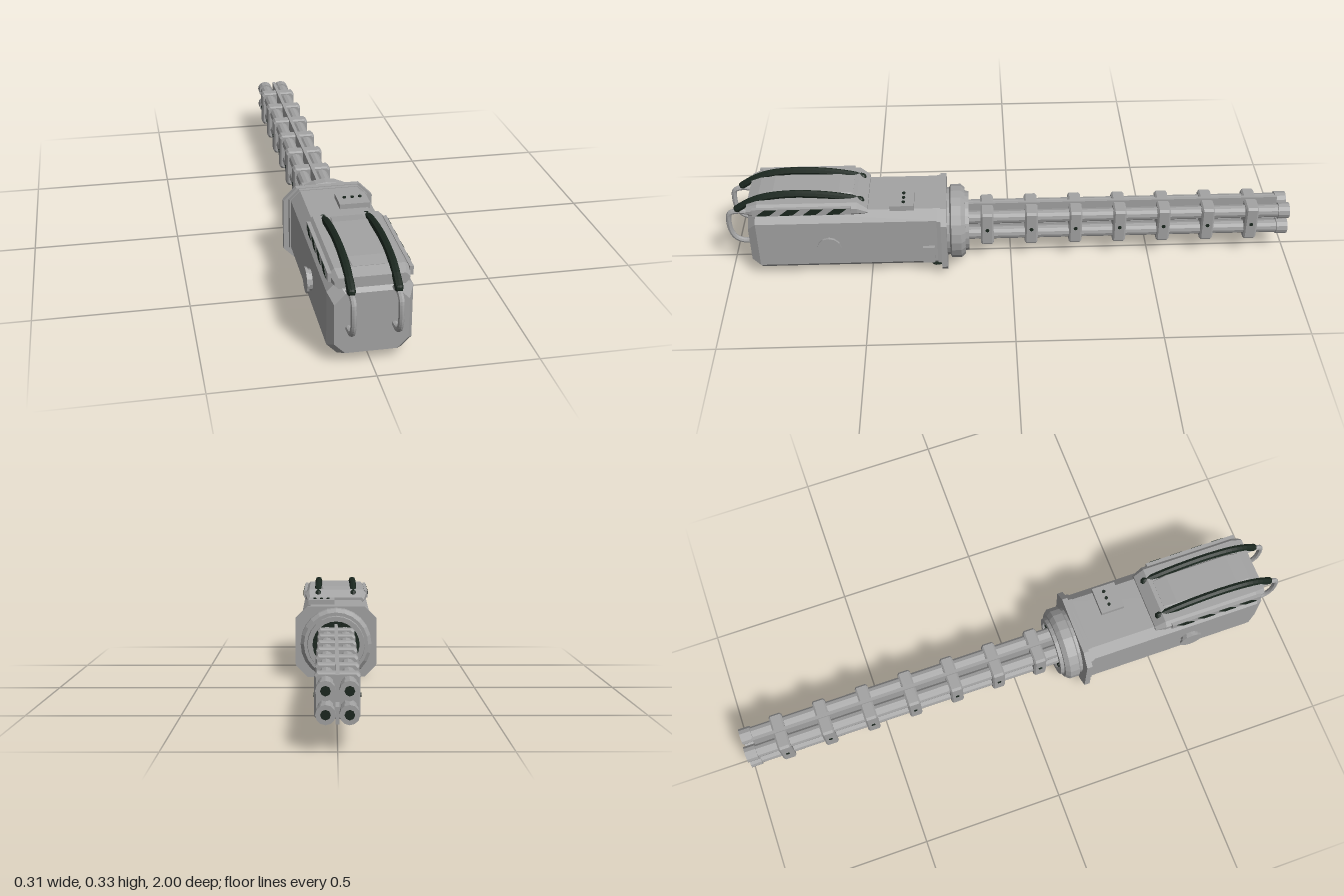
import * as THREE from 'three';

const grey = new THREE.MeshStandardMaterial({ color: 0xa3a3a3, flatShading: true });
grey.name = 'metalGrey';
const dark = new THREE.MeshStandardMaterial({ color: 0x1a261e, flatShading: true });
dark.name = 'darkGreen';

// Octagonal cross-sections joined along z; each section is [z, halfWidth, yBottom, yTop, chamfer]
function octagonLoft(sections) {
  const rings = sections.map(([z, w, b, t, c]) => [
    [w, b + c, z], [w, t - c, z], [w - c, t, z], [-w + c, t, z],
    [-w, t - c, z], [-w, b + c, z], [-w + c, b, z], [w - c, b, z],
  ]);
  const out = [];
  const tri = (a, b, c) => out.push(...a, ...b, ...c);
  for (let s = 0; s + 1 < rings.length; s++) {
    for (let i = 0; i < 8; i++) {
      const j = (i + 1) % 8, a = rings[s], b = rings[s + 1];
      tri(a[i], a[j], b[j]);
      tri(a[i], b[j], b[i]);
    }
  }
  const first = rings[0], last = rings[rings.length - 1];
  for (let i = 1; i < 7; i++) {
    tri(last[0], last[i], last[i + 1]);
    tri(first[0], first[i + 1], first[i]);
  }
  const geo = new THREE.BufferGeometry();
  geo.setAttribute('position', new THREE.Float32BufferAttribute(out, 3));
  geo.computeVertexNormals();
  return geo;
}

export function createModel() {
  const model = new THREE.Group();
  const add = (name, geo, mat, x = 0, y = 0, z = 0) => {
    const mesh = new THREE.Mesh(geo, mat);
    mesh.name = name;
    mesh.position.set(x, y, z);
    model.add(mesh);
    return mesh;
  };
  const box = (name, mat, w, h, d, x, y, z) => add(name, new THREE.BoxGeometry(w, h, d), mat, x, y, z);
  const rodZ = (r, len, sides) => new THREE.CylinderGeometry(r, r, len, sides).rotateX(Math.PI / 2);
  const rodX = (r, len, sides) => new THREE.CylinderGeometry(r, r, len, sides).rotateZ(Math.PI / 2);

  // Housing with bevelled end, and the collar plate behind it
  add('housing', octagonLoft([
    [0.235, 0.13, 0.024, 0.266, 0.032],
    [0.89, 0.13, 0.024, 0.266, 0.032],
    [0.92, 0.113, 0.038, 0.238, 0.034],
  ]), grey);
  add('collarPlate', octagonLoft([
    [0.228, 0.153, 0.001, 0.27, 0.045],
    [0.248, 0.153, 0.001, 0.27, 0.045],
  ]), grey);
  add('collarStep', octagonLoft([
    [0.245, 0.136, 0.016, 0.268, 0.036],
    [0.262, 0.134, 0.02, 0.268, 0.034],
  ]), grey);

  // Hollow ring, turned around z, open towards the barrels
  const ringProfile = [
    [0.088, -0.215], [0.088, -0.15], [0.106, -0.15], [0.108, -0.163],
    [0.12, -0.163], [0.133, -0.178], [0.133, -0.212], [0.122, -0.218], [0.122, -0.23],
  ].map(([r, z]) => new THREE.Vector2(r, -z)).reverse();
  add('mountRing', new THREE.LatheGeometry(ringProfile, 24).rotateX(-Math.PI / 2), grey, 0, 0.135, 0)
    .material.side = THREE.DoubleSide;
  const ring = model.getObjectByName('mountRing');
  ring.scale.z = Math.sign(new THREE.Vector3(0, 1, 0).applyAxisAngle(new THREE.Vector3(1, 0, 0), -Math.PI / 2).z) || 1;
  ring.geometry.scale(1, 1, ring.scale.z);
  ring.scale.z = 1;

  // Dark socket with teeth inside the ring
  add('socket', rodZ(0.088, 0.02, 24), dark, 0, 0.135, 0.2);
  for (let i = 0; i < 16; i++) {
    const a = (i / 16) * Math.PI * 2;
    const tooth = box('socketTooth', dark, 0.014, 0.017, 0.034,
      Math.cos(a) * 0.081, 0.135 + Math.sin(a) * 0.081, 0.174);
    tooth.rotation.z = a;
  }
  add('spindle', rodZ(0.055, 0.03, 12), grey, 0, 0.14, 0.185);

  // Four barrels with muzzles and dark bores
  for (const x of [-0.034, 0.034]) {
    for (const y of [0.106, 0.174]) {
      add('barrel', rodZ(0.024, 1.15, 12), grey, x, y, -0.385);
      add('muzzle', rodZ(0.029, 0.04, 12), grey, x, y, -0.979);
      add('bore', rodZ(0.015, 0.004, 8), dark, x, y, -0.9985);
    }
  }

  // Thin rails between the barrels
  box('topRail', grey, 0.012, 0.056, 1.12, 0, 0.185, -0.4);
  box('bottomRail', grey, 0.012, 0.05, 1.12, 0, 0.096, -0.4);

  // Barrel clamps with side screws
  for (let i = 0; i < 7; i++) {
    const z = 0.085 - i * 0.158;
    add('clamp', octagonLoft([
      [z - 0.023, 0.062, 0.075, 0.201, 0.008],
      [z - 0.017, 0.067, 0.07, 0.206, 0.008],
      [z + 0.017, 0.067, 0.07, 0.206, 0.008],
      [z + 0.023, 0.062, 0.075, 0.201, 0.008],
    ]), grey);
    for (const s of [-1, 1]) add('clampScrew', rodX(0.007, 0.004, 8), dark, s * 0.067, 0.138, z);
  }

  // Raised lid
  add('lid', octagonLoft([
    [0.5, 0.112, 0.255, 0.275, 0.009],
    [0.535, 0.122, 0.253, 0.304, 0.016],
    [0.88, 0.122, 0.253, 0.304, 0.016],
    [0.918, 0.112, 0.256, 0.29, 0.012],
  ]), grey);
  add('lidRidge', octagonLoft([
    [0.55, 0.055, 0.29, 0.305, 0.005],
    [0.6, 0.06, 0.29, 0.312, 0.005],
    [0.83, 0.06, 0.29, 0.312, 0.005],
    [0.88, 0.055, 0.29, 0.305, 0.005],
  ]), grey);

  // Slanted vents on both sides of the lid
  const slant = new THREE.Shape([
    [-0.035, -0.011], [0.008, -0.011], [0.035, 0.011], [-0.008, 0.011],
  ].map(([x, y]) => new THREE.Vector2(x, y)));
  const ventGeo = new THREE.ExtrudeGeometry(slant, { depth: 0.005, bevelEnabled: false })
    .translate(0, 0, -0.0025).rotateY(Math.PI / 2);
  for (const s of [-1, 1]) {
    box('ventFrame', grey, 0.012, 0.028, 0.34, s * 0.122, 0.283, 0.725);
    for (let i = 0; i < 4; i++) add('vent', ventGeo, dark, s * 0.128, 0.283, 0.605 + i * 0.08);
  }

  // Dark arched straps and the grey handle loops below their ends
  const curve = (x, pts) => new THREE.CatmullRomCurve3(pts.map(([y, z]) => new THREE.Vector3(x, y, z)));
  for (const x of [-0.07, 0.07]) {
    const strap = curve(x, [[0.263, 0.955], [0.288, 0.915], [0.309, 0.86], [0.32, 0.77], [0.316, 0.67], [0.304, 0.59], [0.288, 0.525]]);
    add('strap', new THREE.TubeGeometry(strap, 20, 0.0135, 8), dark);
    for (const t of [0, 1]) {
      const p = strap.getPoint(t);
      add('strapEnd', new THREE.SphereGeometry(0.0135, 8, 6), dark, p.x, p.y, p.z);
    }
    const handle = curve(x, [[0.245, 0.915], [0.252, 0.955], [0.243, 0.984], [0.215, 0.991], [0.16, 0.986], [0.135, 0.97], [0.124, 0.945], [0.124, 0.912]]);
    add('handle', new THREE.TubeGeometry(handle, 28, 0.0095, 8), grey);
  }

  // Round caps on both sides
  for (const s of [-1, 1]) {
    add('sideCapBase', rodX(0.034, 0.016, 12), grey, s * 0.134, 0.138, 0.64);
    add('sideCap', rodX(0.042, 0.008, 12), grey, s * 0.145, 0.138, 0.64);
  }

  // Latch with a short dark cable on the left side
  box('latch', grey, 0.018, 0.066, 0.042, 0.133, 0.092, 0.293);
  const cable = new THREE.CatmullRomCurve3([
    new THREE.Vector3(0.132, 0.06, 0.285), new THREE.Vector3(0.13, 0.045, 0.27), new THREE.Vector3(0.115, 0.035, 0.25),
  ]);
  add('cable', new THREE.TubeGeometry(cable, 8, 0.006, 6), dark);

  // Button panel on top
  box('buttonPanel', grey, 0.1, 0.02, 0.085, 0.055, 0.273, 0.382);
  for (let i = 0; i < 3; i++) {
    add('button', new THREE.CylinderGeometry(0.006, 0.006, 0.006, 8), dark, 0.03 + i * 0.026, 0.284, 0.376);
  }
  return model;
}
